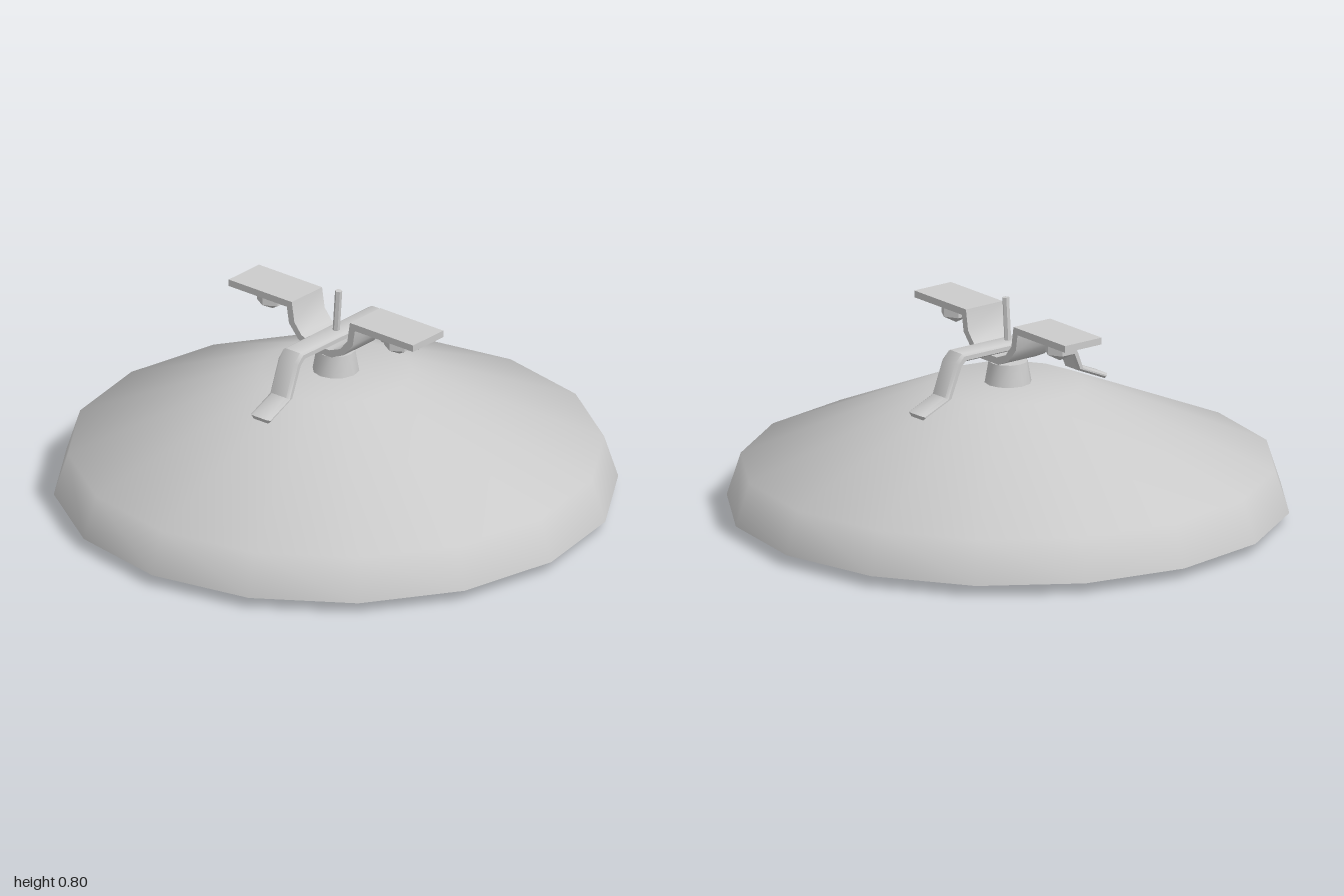
import * as THREE from 'three';
import { toCreasedNormals } from 'three/addons/utils/BufferGeometryUtils.js';

const grey = new THREE.MeshStandardMaterial({ color: 0xcccccc });
const vec = (points) => points.map(([x, y]) => new THREE.Vector2(x, y));

export function createModel() {
  const group = new THREE.Group();

  function add(name, geometry, crease = 0.7) {
    const mesh = new THREE.Mesh(toCreasedNormals(geometry, crease), grey);
    mesh.name = name;
    group.add(mesh);
    return mesh;
  }

  const lathe = (points, sides) => new THREE.LatheGeometry(vec(points), sides);

  // Bent metal strip: half of its edge outline is mirrored, then given a width
  function strip(top, bottom, width, bevel) {
    const flip = (list) => list.map(([x, y]) => [-x, y]).reverse();
    const outline = [...flip(top), ...top, ...bottom, ...flip(bottom)];
    const geometry = new THREE.ExtrudeGeometry(new THREE.Shape(vec(outline)), {
      depth: width - 2 * bevel,
      bevelEnabled: bevel > 0,
      bevelThickness: bevel,
      bevelSize: bevel * 0.6,
      bevelOffset: -bevel * 0.6,
      bevelSegments: 1,
    });
    return geometry.translate(0, 0, bevel - width / 2);
  }

  // Wide hollow shade: inside surface, rim, then outside surface
  add('shade', lathe([
    [0, 0.465], [0.265, 0.46], [0.915, 0.18], [0.965, 0.04],
    [1, 0.04], [0.95, 0.195], [0.27, 0.485], [0, 0.495],
  ], 16), 0.9);

  // Bulb with its socket neck
  add('bulb', lathe([
    [0, 0], [0.1, 0.035], [0.16, 0.1], [0.175, 0.18], [0.15, 0.26],
    [0.095, 0.325], [0.08, 0.36], [0.08, 0.45], [0.06, 0.475],
  ], 12), 0.9);

  // Collar on top of the shade
  add('collar', new THREE.CylinderGeometry(0.07, 0.085, 0.085, 12).translate(0, 0.5275, 0));

  // Strap that grips the shade, running front to back
  add('shadeStrap', strip(
    [[0.235, 0.645], [0.265, 0.615], [0.31, 0.497], [0.42, 0.45]],
    [[0.41, 0.433], [0.285, 0.487], [0.238, 0.6], [0.22, 0.615]],
    0.09, 0.012,
  ).rotateY(Math.PI / 2));

  // Mounting bracket with a flat wing on each side
  add('mountingBracket', strip(
    [[0.04, 0.605], [0.09, 0.625], [0.123, 0.665], [0.135, 0.74], [0.428, 0.74]],
    [[0.428, 0.715], [0.158, 0.715], [0.148, 0.655], [0.105, 0.605], [0.05, 0.58]],
    0.165, 0,
  ));

  // Hexagonal nuts under the wings
  for (const side of [-1, 1]) {
    const nut = add(side > 0 ? 'leftNut' : 'rightNut', lathe([
      [0, 0.64], [0.055, 0.67], [0.055, 0.718], [0, 0.718],
    ], 6));
    nut.position.x = side * 0.295;
  }

  // Short, slightly leaning cord
  const cord = add('cord', new THREE.CylinderGeometry(0.013, 0.013, 0.18, 6));
  cord.position.set(0.006, 0.71, 0);
  cord.rotation.z = -0.07;

  return group;
}
